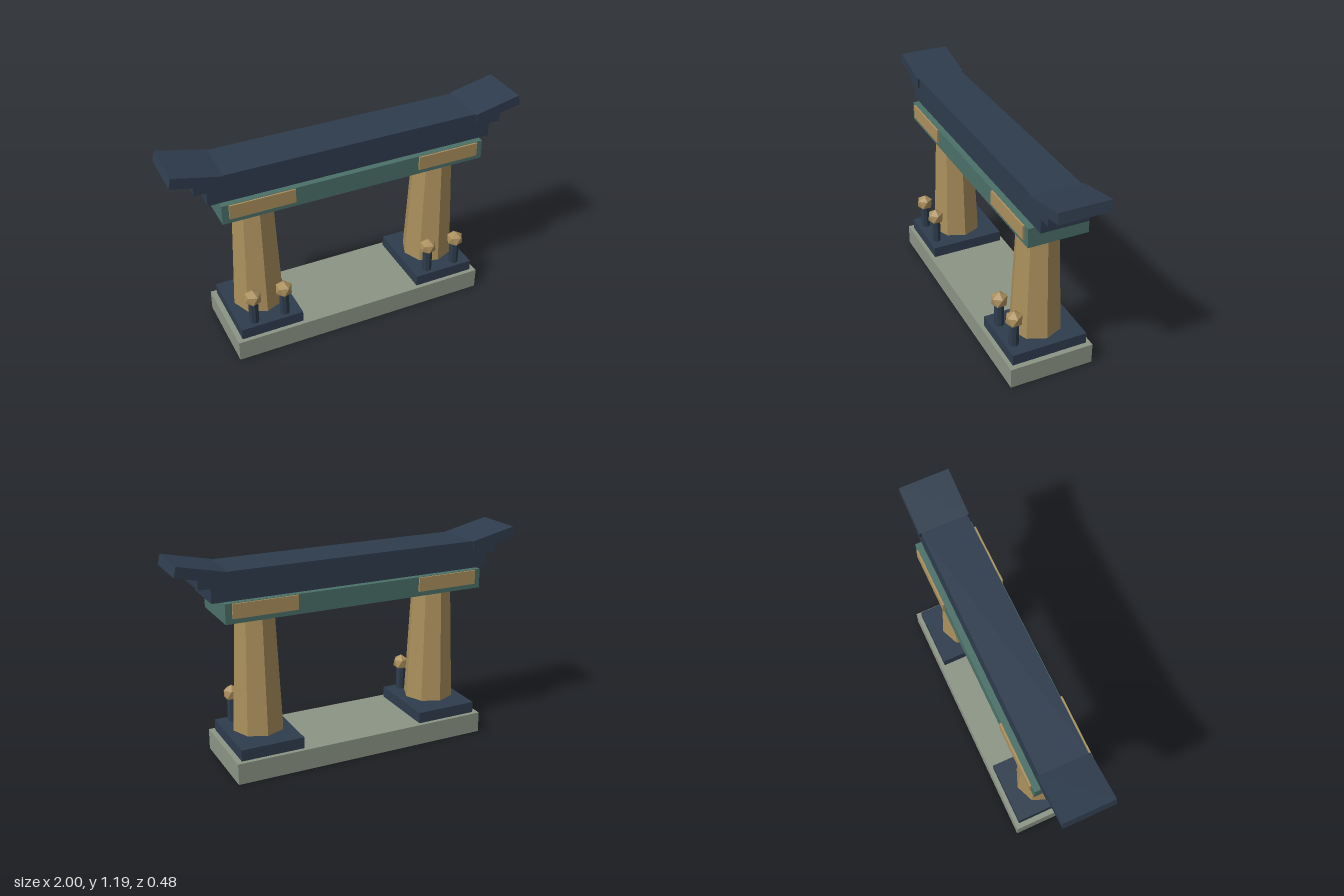
import * as THREE from 'three';

export function createModel() {
  const model = new THREE.Group();
  model.name = 'gate';
  const mat = (name, color) => {
    const m = new THREE.MeshStandardMaterial({ color, flatShading: true });
    m.name = name;
    return m;
  };
  const navy = mat('navy', 0x2e3c4d);
  const tan = mat('tan', 0xab8f5d);
  const teal = mat('teal', 0x4a7068);
  const stone = mat('stone', 0x8c9485);

  const add = (name, geometry, material, x, y, z) => {
    const mesh = new THREE.Mesh(geometry, material);
    mesh.name = name;
    mesh.position.set(x, y, z);
    model.add(mesh);
    return mesh;
  };
  // Box centred on x and z, given by its bottom and top heights
  const slab = (name, material, w, y0, y1, d, x = 0, z = 0) =>
    add(name, new THREE.BoxGeometry(w, y1 - y0, d), material, x, (y0 + y1) / 2, z);

  // Base and main beam
  slab('base', stone, 1.5, 0, 0.12, 0.484);
  slab('beam', teal, 1.514, 0.868, 0.977, 0.334);
  slab('beamPin', tan, 0.02, 0.865, 0.875, 0.012);

  // Stepped roof
  slab('roofLowerTier', navy, 1.63, 0.977, 1.055, 0.264);
  slab('roofMiddleTier', navy, 1.76, 1.055, 1.105, 0.264);
  slab('roofRidge', navy, 1.45, 1.105, 1.133, 0.266);

  // Lantern head: icosahedron standing on one corner
  const headGeo = new THREE.IcosahedronGeometry(0.05, 0);
  headGeo.rotateZ(-Math.atan(2 / (1 + Math.sqrt(5))));
  const postGeo = new THREE.CylinderGeometry(0.028, 0.028, 0.135, 8);

  for (const side of [-1, 1]) {
    const x = side * 0.54;
    slab('plinth', navy, 0.36, 0.12, 0.184, 0.436, x);
    add('column', new THREE.CylinderGeometry(0.113, 0.145, 0.67, 8), tan, x, 0.535, 0);

    // Panels on the front and back of the beam
    for (const face of [-1, 1]) {
      slab('beamPanel', tan, 0.36, 0.896, 0.975, 0.02, x, face * 0.167);
    }

    // Upturned roof end
    const wing = add('roofEnd', new THREE.BoxGeometry(0.273, 0.058, 0.286), navy, side * 0.8605, 1.134, 0);
    wing.rotation.z = side * 0.217;

    // Pair of lanterns in front of the column
    for (const dx of [-0.09, 0.09]) {
      add('lanternPost', postGeo, navy, x + dx, 0.2515, 0.17);
      add('lanternHead', headGeo, tan, x + dx, 0.347, 0.17);
    }
  }
  return model;
}
